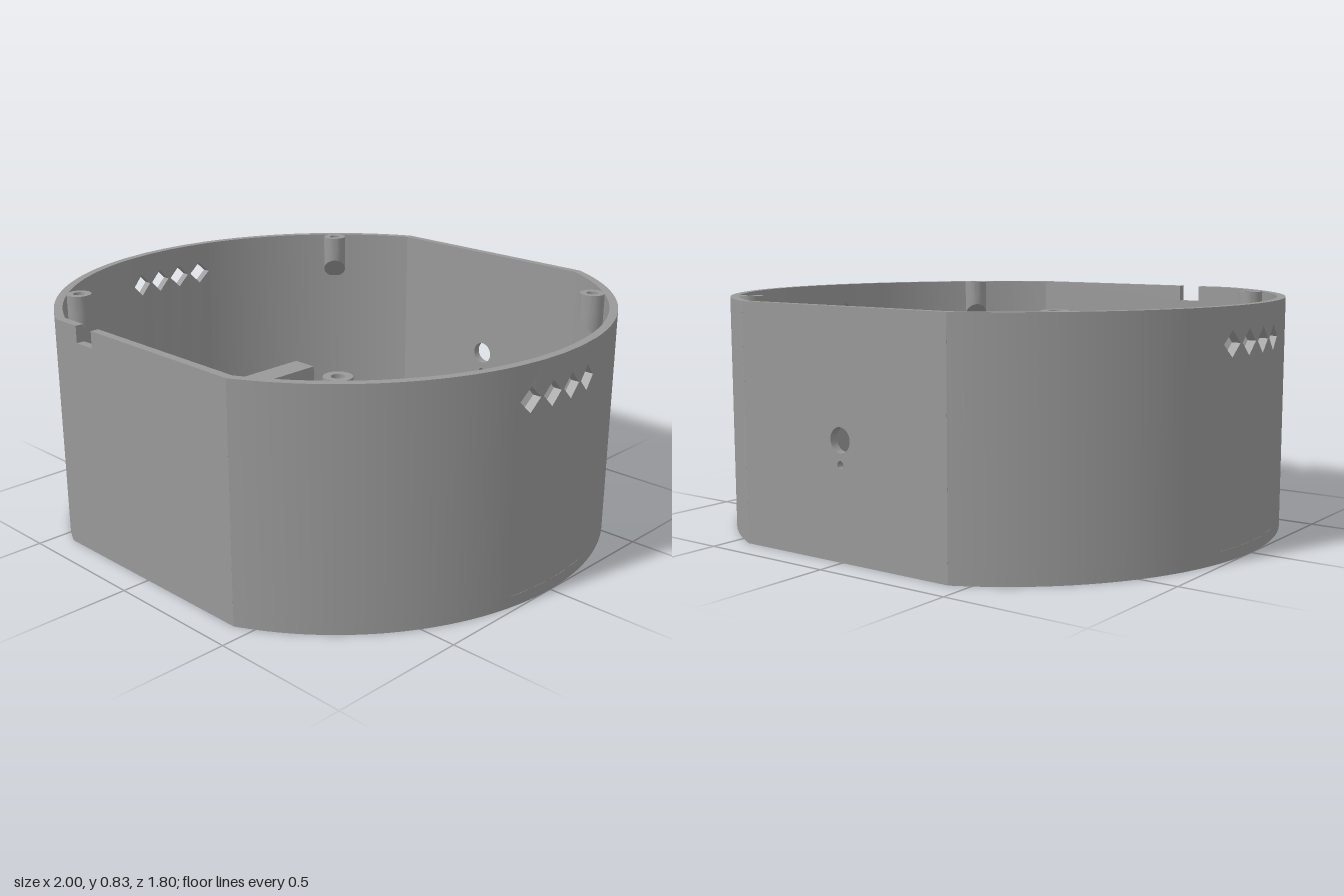
import * as THREE from 'three';
import { toCreasedNormals } from 'three/addons/utils/BufferGeometryUtils.js';

const R = 1, T = 0.03, FLAT = 0.9, H = 0.825, FLOOR = 0.04, PANEL = 0.2;

const plastic = new THREE.MeshStandardMaterial({ color: 0x999999 });
plastic.name = 'grey plastic';

const poly = (pts) => new THREE.Shape(pts.map(([x, y]) => new THREE.Vector2(x, y)));
const circle = (x, y, r) => new THREE.Shape().absarc(x, y, r, 0, Math.PI * 2, false);
const extrude = (shape, depth, curveSegments = 16) =>
  new THREE.ExtrudeGeometry(shape, { depth, bevelEnabled: false, curveSegments });
// plan shape (x, -z) raised from height y
const raise = (shape, y, h, seg) => extrude(shape, h, seg).rotateX(-Math.PI / 2).translate(0, y, 0);

function add(parent, name, geometry) {
  const mesh = new THREE.Mesh(toCreasedNormals(geometry, 0.3), plastic);
  mesh.name = name;
  parent.add(mesh);
  return mesh;
}

// floor plate with through holes
function makeFloor(g) {
  const a = Math.asin(FLAT / R);
  const s = new THREE.Shape();
  s.absarc(0, 0, R, -a, a, false);
  s.absarc(0, 0, R, Math.PI - a, Math.PI + a, false);
  const holes = [
    [0, 0, 0.091], [0, -0.31, 0.072], [-0.175, 0, 0.02], [0.09, -0.155, 0.02], [0.09, 0.15, 0.02],
    [-0.21, -0.58, 0.02], [0.21, -0.58, 0.02], [-0.21, -0.2, 0.02], [0.21, -0.2, 0.02], [0, 0.42, 0.028],
  ];
  for (const x of [-1, 1]) for (const z of [-1, 1]) holes.push([x * 0.657, z * 0.657, 0.018]);
  for (const [x, z, r] of holes) s.holes.push(circle(x, -z, r));
  add(g, 'floor', raise(s, 0, FLOOR, 40));

  // low pads and a closed boss on the floor
  for (const [x, z] of [[-0.2, -0.08], [-0.07, -0.15], [-0.2, 0.075], [-0.07, 0.15]])
    add(g, 'floorPad', raise(circle(x, -z, 0.038), FLOOR, 0.005));
  add(g, 'floorBoss', raise(circle(0, -0.42, 0.058), FLOOR, 0.02));
  for (const m of [1, -1]) {
    const c = new THREE.Shape();
    const from = m > 0 ? -0.2 : -1.75, to = from + 1.95;
    c.absarc(0.06, m * 0.075, 0.036, from, to, false);
    c.absarc(0.06, m * 0.075, 0.02, to, from, true);
    add(g, 'floorCrescent', raise(c, FLOOR, 0.005));
  }
}

// half of the curved shell on the +x side
function makeSide(name) {
  const side = new THREE.Group();
  side.name = name;
  const ri = R - T, fi = FLAT - T;
  for (const m of [1, -1]) {
    const s = new THREE.Shape();
    s.absarc(0, 0, R, m * Math.asin(PANEL / R), m * Math.asin(FLAT / R), m < 0);
    s.absarc(0, 0, ri, m * Math.asin(fi / ri), m * Math.asin(PANEL / ri), m > 0);
    add(side, 'curvedWall', raise(s, FLOOR, H - FLOOR, 24));
  }
  // four strips, each with a diamond vent, bent onto the cylinder
  for (let i = 0; i < 4; i++) {
    const c = -0.15 + i * 0.1, y = 0.705, d = 0.044;
    const s = poly([[c - 0.05, FLOOR], [c + 0.05, FLOOR], [c + 0.05, H], [c - 0.05, H]]);
    s.holes.push(poly([[c - d, y], [c, y + d], [c + d, y], [c, y - d]]));
    const geo = extrude(s, T);
    const p = geo.attributes.position;
    for (let k = 0; k < p.count; k++) {
      const z = -p.getX(k), r = ri + p.getZ(k);
      p.setXYZ(k, Math.sqrt(r * r - z * z), p.getY(k), z);
    }
    add(side, 'ventWall', geo);
  }
  return side;
}

// screw post under the rim, with a slanted underside
function makePost(angle) {
  const post = new THREE.Group();
  post.name = 'screwPost';
  const top = 0.77, r = 0.045;
  const body = new THREE.CylinderGeometry(r, r, 0.1, 24);
  const p = body.attributes.position;
  for (let i = 0; i < p.count; i++) p.setY(i, p.getY(i) > 0 ? top : 0.685 - p.getX(i));
  add(post, 'postBody', body.translate(0.929, 0, 0));
  const ring = circle(0.929, 0, r);
  ring.holes.push(circle(0.929, 0, 0.021));
  add(post, 'postRing', raise(ring, top, H - top));
  post.rotation.y = angle;
  return post;
}

// standoff on the inside of the front wall, with a wedge below
function makePeg(x, y) {
  const peg = new THREE.Group();
  peg.name = 'frontPeg';
  const r = 0.033;
  const ring = circle(0, 0, r);
  ring.holes.push(circle(0, 0, 0.016));
  add(peg, 'pegTip', extrude(ring, 0.05));
  add(peg, 'pegBody', extrude(circle(0, 0, r), 0.055).translate(0, 0, 0.05));
  add(peg, 'pegWedge', extrude(poly([[0.015, -0.015], [0.105, -0.115], [0.105, 0], [0.015, 0]]), r * 2)
    .rotateY(-Math.PI / 2).translate(r, 0, 0));
  peg.position.set(x, y, 0.77);
  return peg;
}

export function createModel() {
  const g = new THREE.Group();
  g.name = 'roundEnclosure';
  makeFloor(g);

  const right = makeSide('rightShell');
  right.rotation.y = Math.PI;
  g.add(makeSide('leftShell'), right);

  // flat front wall with a rim notch
  const w = 0.4358;
  add(g, 'frontWall', extrude(poly([
    [-w, FLOOR], [w, FLOOR], [w, H], [-0.24, H], [-0.24, 0.765], [-0.325, 0.765], [-0.325, H], [-w, H],
  ]), T).translate(0, 0, FLAT - T));

  // flat back wall with a socket hole and a pin hole
  const back = poly([[-w, FLOOR], [w, FLOOR], [w, H], [-w, H]]);
  back.holes.push(circle(0, 0.4, 0.042), circle(0, 0.32, 0.013));
  add(g, 'backWall', extrude(back, T).translate(0, 0, -FLAT));

  for (let i = 0; i < 4; i++) g.add(makePost(Math.PI / 4 + i * Math.PI / 2));
  for (const x of [-0.315, 0.33]) for (const y of [0.2, 0.58]) g.add(makePeg(x, y));

  // upright mounting bracket with two triangular gussets
  const bracket = new THREE.Group();
  bracket.name = 'bracket';
  const plate = poly([[-0.218, FLOOR], [0.218, FLOOR], [0.218, 0.415], [-0.218, 0.415]]);
  for (const z of [-0.163, 0.163]) plate.holes.push(circle(z, 0.36, 0.014));
  add(bracket, 'bracketPlate', extrude(plate, 0.102).rotateY(Math.PI / 2).translate(-0.443, 0, 0));
  const gusset = poly([[-0.64, FLOOR], [-0.443, FLOOR], [-0.443, 0.4], [-0.64, 0.07]]);
  for (const z of [-0.218, 0.188]) add(bracket, 'bracketGusset', extrude(gusset, 0.03).translate(0, 0, z));
  g.add(bracket);
  return g;
}
